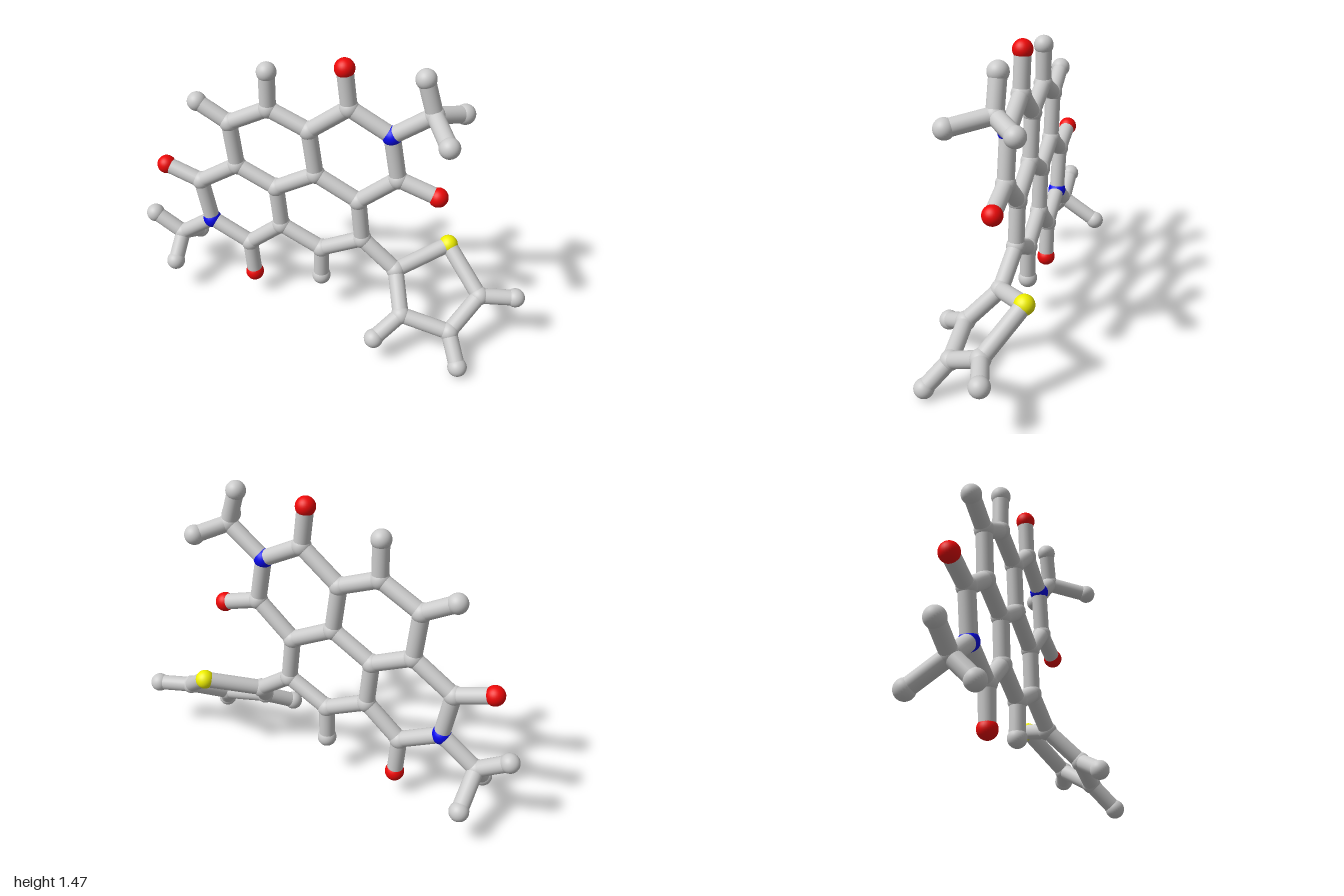
import * as THREE from 'three';

const ATOM_R = 0.047, BOND_R = 0.039;

const material = (color) => new THREE.MeshStandardMaterial({ color });
const grey = material(0xcccccc);
const kinds = {
  C: { name: 'carbonAtom', mat: grey },
  H: { name: 'hydrogenAtom', mat: grey },
  O: { name: 'oxygenAtom', mat: material(0xee0808) },
  N: { name: 'nitrogenAtom', mat: material(0x0808ee) },
  S: { name: 'sulfurAtom', mat: material(0xf0f000) },
};

// Atoms: first letter is the element; z is left out where the atom lies on the flat ring plane
const atoms = {
  // shared ring core
  C1: [0.163, 0.727], C2: [-0.053, 0.834], C3: [-0.085, 1.07], C4: [-0.285, 1.15],
  C5: [-0.487, 1.037], C6: [-0.46, 0.8], C7: [-0.257, 0.711], C8: [-0.235, 0.487],
  C9: [-0.023, 0.39], C10: [0.187, 0.503],
  H4: [-0.285, 1.34], H5: [-0.647, 1.123], H9: [-0.023, 0.212],
  // upper imide ring with methyl
  C11: [0.107, 1.225], O11: [0.083, 1.42], N1: [0.31, 1.12],
  C12: [0.35, 0.893], O12: [0.543, 0.834],
  C13: [0.495, 1.26], H13a: [0.445, 1.428], H13b: [0.605, 1.222, 0.107], H13c: [0.605, 1.222, -0.19],
  // lower imide ring with methyl
  C14: [-0.663, 0.663], O14: [-0.85, 0.722], N2: [-0.62, 0.433],
  C15: [-0.412, 0.332], O15: [-0.396, 0.135],
  C16: [-0.8, 0.3], H16a: [-0.952, 0.39], H16b: [-0.8, 0.185, 0.07], H16c: [-0.8, 0.185, -0.222],
  // tilted five-sided ring
  C17: [0.37, 0.37, -0.045], S1: [0.585, 0.453, -0.225], C18: [0.785, 0.283, -0.095],
  C19: [0.685, 0.17, 0.083], C20: [0.445, 0.22, 0.1],
  H18: [0.953, 0.275, -0.15], H19: [0.76, 0.05, 0.182], H20: [0.347, 0.14, 0.222],
};

// Bonds as chains of neighbouring atoms
const chains = [
  'C1 C2 C3 C4 C5 C6 C7 C8 C9 C10 C1', 'C2 C7', 'C4 H4', 'C5 H5', 'C9 H9',
  'C3 C11 N1 C12 C1', 'C11 O11', 'C12 O12', 'N1 C13 H13a', 'H13b C13 H13c',
  'C6 C14 N2 C15 C8', 'C14 O14', 'C15 O15', 'N2 C16 H16a', 'H16b C16 H16c',
  'C10 C17 S1 C18 C19 C20 C17', 'C18 H18', 'C19 H19', 'C20 H20',
];

// The flat plane leans slightly backwards towards -x
const place = ([x, y, z = -0.057 - 0.025 * x]) => new THREE.Vector3(x, y, z);

function makeBond(a, b) {
  const dir = b.clone().sub(a);
  const bond = new THREE.Mesh(
    new THREE.CylinderGeometry(BOND_R, BOND_R, dir.length(), 24, 1, true), grey);
  bond.position.copy(a).add(b).multiplyScalar(0.5);
  bond.quaternion.setFromUnitVectors(new THREE.Vector3(0, 1, 0), dir.normalize());
  bond.name = 'bond';
  return bond;
}

export function createModel() {
  const model = new THREE.Group();
  model.name = 'molecule';
  const atomGroup = new THREE.Group();
  atomGroup.name = 'atoms';
  const bondGroup = new THREE.Group();
  bondGroup.name = 'bonds';
  model.add(atomGroup, bondGroup);

  // Balls
  const ball = new THREE.SphereGeometry(ATOM_R, 28, 18);
  for (const [id, coords] of Object.entries(atoms)) {
    const { name, mat } = kinds[id[0]];
    const atom = new THREE.Mesh(ball, mat);
    atom.name = name;
    atom.position.copy(place(coords));
    atomGroup.add(atom);
  }

  // Sticks
  for (const chain of chains) {
    const ids = chain.split(' ');
    for (let i = 1; i < ids.length; i++) {
      bondGroup.add(makeBond(place(atoms[ids[i - 1]]), place(atoms[ids[i]])));
    }
  }
  return model;
}
